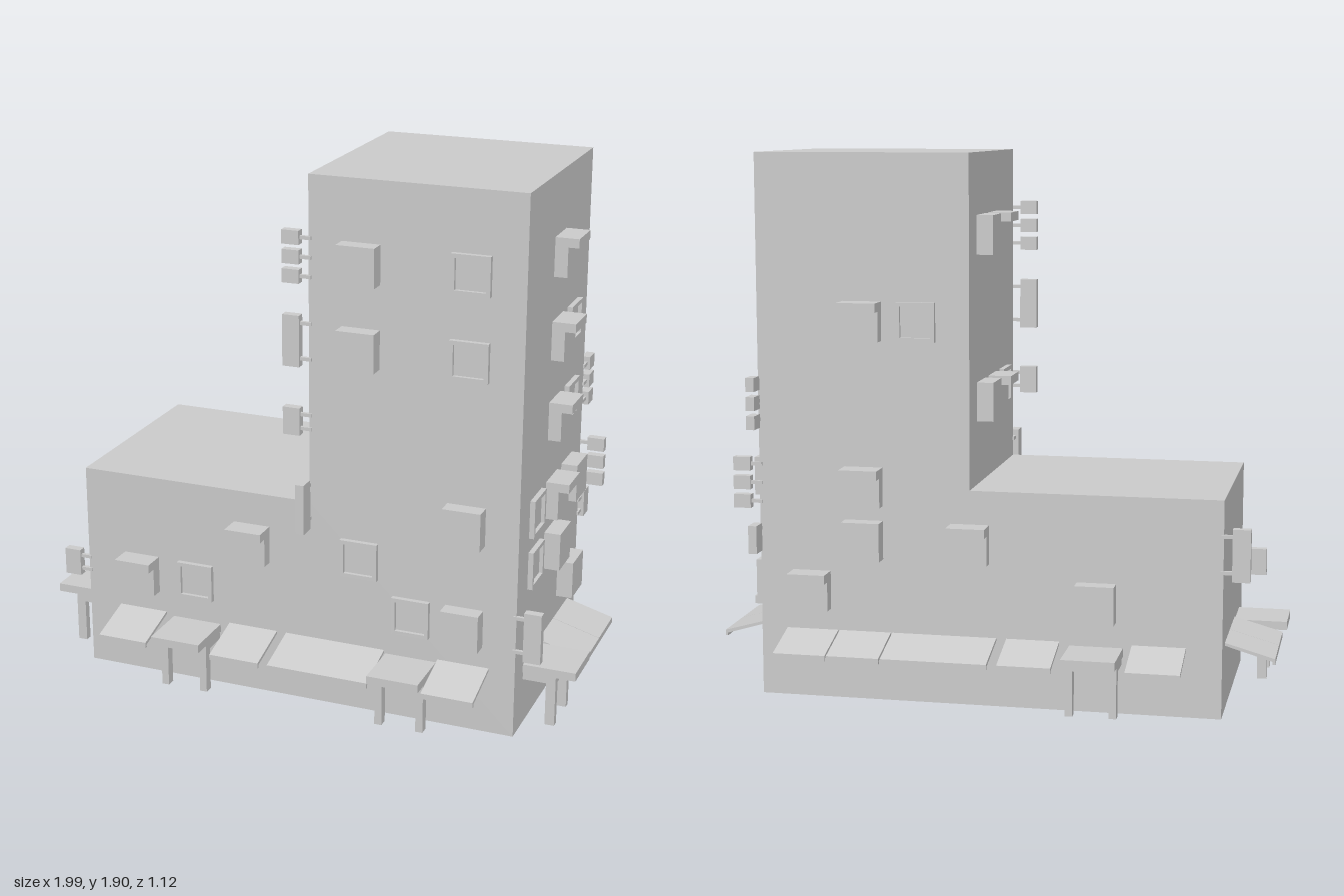
import * as THREE from 'three';

const mat = new THREE.MeshStandardMaterial({ color: 0xcccccc, flatShading: true });

function mesh(name, geo) {
  const m = new THREE.Mesh(geo, mat);
  m.name = name;
  return m;
}

// Box given by its min and max corners
function box(name, x0, x1, y0, y1, z0, z1) {
  const g = new THREE.BoxGeometry(x1 - x0, y1 - y0, z1 - z0);
  g.translate((x0 + x1) / 2, (y0 + y1) / 2, (z0 + z1) / 2);
  return mesh(name, g);
}

function group(name, parts) {
  const g = new THREE.Group();
  g.name = name;
  g.add(...parts);
  return g;
}

// Wall fittings: local x runs along the wall, local z points out of it
const H = 0.0675;
const fittings = {
  bay: () => group('bayBox', [box('bay', -H, H, -H, H, 0, 0.058)]),

  hooded: () => group('hoodedWindow', [
    box('windowBox', -H, H, -H, 0.036, 0, 0.045),
    box('hood', -H, H, 0.036, H, 0, 0.082),
  ]),

  framed: () => {
    const s = new THREE.Shape([[-H, -H], [H, -H], [H, H], [-H, H]].map(p => new THREE.Vector2(...p)));
    const i = H - 0.014;
    s.holes.push(new THREE.Path([[-i, -i], [-i, i], [i, i], [i, -i]].map(p => new THREE.Vector2(...p))));
    return group('framedWindow', [
      mesh('windowFrame', new THREE.ExtrudeGeometry(s, { depth: 0.018, bevelEnabled: false })),
      box('windowPane', -i, i, -i, i, 0, 0.005),
    ]);
  },

  // Sloping awning with a small front lip
  awning: () => {
    const w = 0.185;
    const pts = [[0, 0.242], [0, 0.232], [0.163, 0.184], [0.163, 0.174], [0.172, 0.174], [0.172, 0.194]];
    // profile (outward, height) is extruded along the wall
    const g = new THREE.ExtrudeGeometry(
      new THREE.Shape(pts.map(p => new THREE.Vector2(...p))), { depth: w, bevelEnabled: false });
    g.translate(0, 0, -w / 2);
    g.rotateY(-Math.PI / 2);
    return group('awning', [mesh('awningSlope', g)]);
  },

  // Flat canopy on two posts
  canopy: () => group('canopy', [
    box('canopyRoof', -0.0925, 0.0925, 0.2, 0.23, 0, 0.187),
    box('canopyBeam', -0.088, 0.088, 0.172, 0.2, 0, 0.117),
    ...[-1, 1].map(s => box('canopyPost', s * 0.075 - 0.013, s * 0.075 + 0.013, 0.015, 0.2, 0.083, 0.117)),
  ]),

  tallSign: () => sign('tallSign', [0], 0.09, [-0.062, 0.062]),
  smallSign: () => sign('smallSign', [0], 0.049, [-0.025, 0.025]),
  tripleSign: () => sign('tripleSign', [-0.066, 0, 0.066], 0.024, [-0.066, 0, 0.066]),
};

// Projecting sign: blank panels held off the wall by brackets
function sign(name, panels, half, brackets) {
  return group(name, [
    ...panels.map(y => box('signPanel', -0.015, 0.015, y - half, y + half, 0.03, 0.091)),
    ...brackets.map(y => box('signBracket', -0.006, 0.006, y - 0.006, y + 0.006, -0.01, 0.032)),
  ]);
}

// Each wall: heading, offset from the centre, and [fitting, position along world axis, height]
const W = 0.81, D = 0.375, TX = 0.06;
const R = [0.385, 0.57, 0.757, 1.045, 1.33, 1.62]; // storey heights
const walls = [
  { name: 'frontWall', turn: 0, at: u => [u, D], items: [
    ['bay', 0.245, R[5]], ['framed', 0.625, R[5]],
    ['bay', 0.245, R[4]], ['framed', 0.625, R[4]],
    ['bay', 0.625, R[2]],
    ['hooded', -0.16, R[1]], ['framed', 0.245, R[1]],
    ['hooded', -0.595, R[0]], ['framed', -0.38, R[0]], ['framed', 0.435, R[0]], ['bay', 0.625, R[0]],
    ['tallSign', TX, R[2]],
    ...[-0.595, -0.16, 0.06, 0.245, 0.625].map(u => ['awning', u, 0]),
    ['canopy', -0.38, 0], ['canopy', 0.435, 0],
  ] },
  { name: 'backWall', turn: Math.PI, at: u => [u, -D], items: [
    ['hooded', 0.435, R[4]], ['framed', 0.245, R[4]],
    ['hooded', 0.435, R[2]], ['bay', 0.435, R[1]], ['hooded', 0.06, R[1]],
    ['hooded', 0.625, R[0]], ['bay', -0.38, R[0]],
    ['tripleSign', W, R[3]], ['smallSign', W, R[1]],
    ...[-0.595, -0.16, 0.06, 0.245, 0.435, 0.625].map(u => ['awning', u, 0]),
    ['canopy', -0.38, 0],
  ] },
  { name: 'rightEndWall', turn: Math.PI / 2, at: u => [W, u], items: [
    ['hooded', 0, R[5]],
    ['hooded', 0, R[4]], ['framed', -0.19, R[4]],
    ['hooded', 0, R[3]], ['framed', -0.19, R[3]],
    ['framed', 0.19, R[2]], ['hooded', 0, R[2]], ['bay', -0.19, R[2]],
    ['framed', 0.19, R[1]], ['bay', 0, R[1]],
    ['bay', -0.19, R[0]],
    ['tallSign', D, R[0]], ['tripleSign', -D, R[2]],
    ['awning', 0, 0], ['awning', -0.187, 0], ['canopy', 0.187, 0],
  ] },
  { name: 'lowEndWall', turn: -Math.PI / 2, at: u => [-W, u], items: [
    ['smallSign', D, R[0]], ['tallSign', -D, R[1]],
    ['awning', 0, 0], ['awning', -0.187, 0], ['canopy', 0.187, 0],
  ] },
  { name: 'towerSideWall', turn: -Math.PI / 2, at: u => [TX, u], items: [
    ['bay', -0.19, R[5]], ['hooded', 0, R[5]],
    ['bay', -0.19, R[3]], ['hooded', 0, R[3]], ['framed', 0.19, R[3]],
    ['tripleSign', D, R[5]], ['tallSign', D, R[4]], ['smallSign', D, R[3]],
  ] },
];

export function createModel() {
  const model = new THREE.Group();
  model.name = 'building';

  // L-shaped body: low wing and tower in one solid
  const outline = new THREE.Shape([[-W, 0], [W, 0], [W, 1.9], [TX, 1.9], [TX, 0.755], [-W, 0.755]]
    .map(p => new THREE.Vector2(...p)));
  const body = new THREE.ExtrudeGeometry(outline, { depth: 2 * D, bevelEnabled: false });
  body.translate(0, 0, -D);
  model.add(mesh('buildingBody', body));

  // Fittings on every wall
  for (const wall of walls) {
    const parts = wall.items.map(([kind, u, y]) => {
      const part = fittings[kind]();
      const [x, z] = wall.at(u);
      part.position.set(x, y, z);
      part.rotation.y = wall.turn;
      return part;
    });
    model.add(group(wall.name, parts));
  }
  return model;
}
